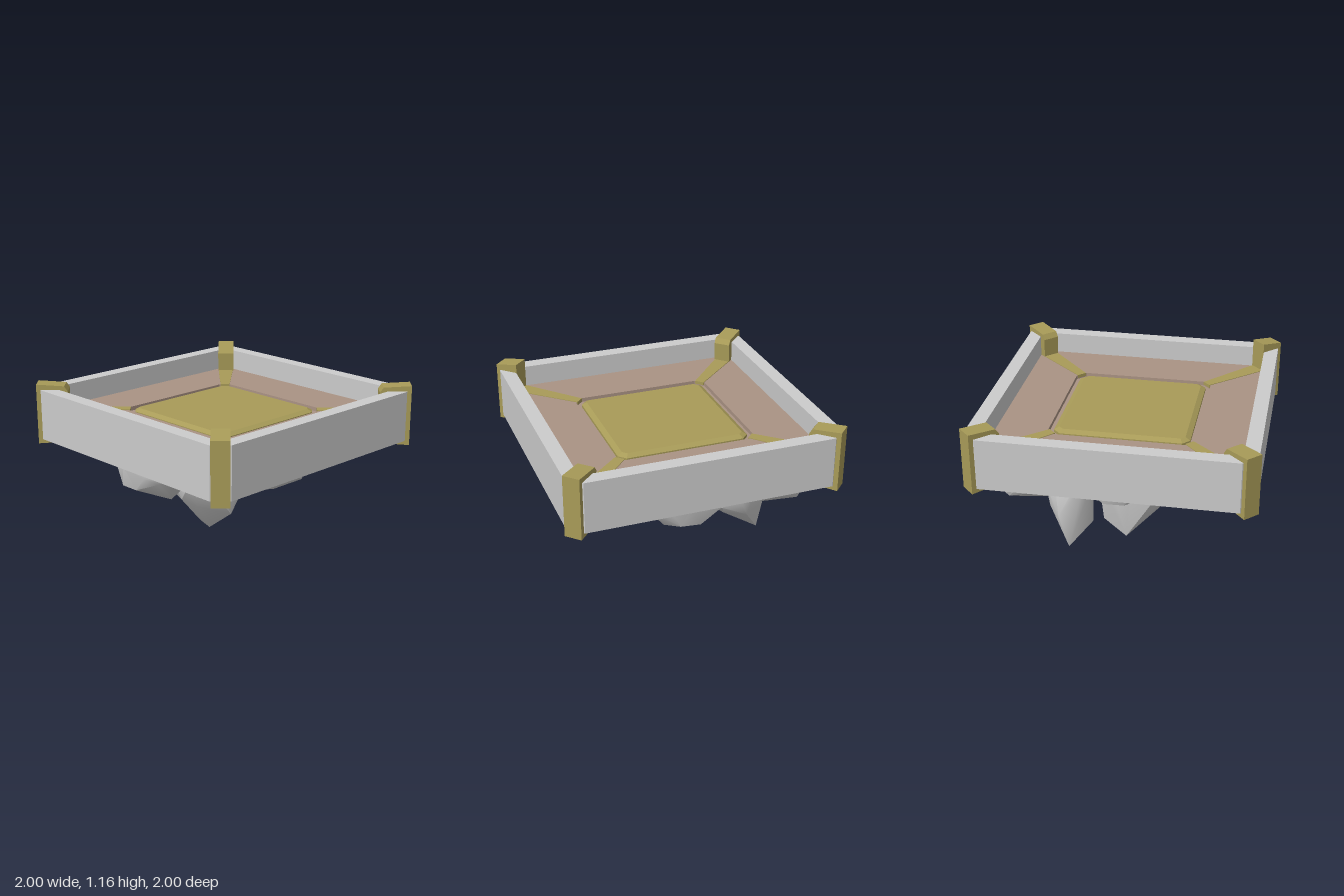
import * as THREE from 'three';
import { ConvexGeometry } from 'three/addons/geometries/ConvexGeometry.js';
import { toCreasedNormals } from 'three/addons/utils/BufferGeometryUtils.js';

const grey = new THREE.MeshStandardMaterial({ color: 0xcccccc });
const brown = new THREE.MeshStandardMaterial({ color: 0xaa9384 });
const gold = new THREE.MeshStandardMaterial({ color: 0xa89b58 });

const FLOOR = 0.945;

function add(parent, name, geometry, material) {
  const mesh = new THREE.Mesh(geometry, material);
  mesh.name = name;
  parent.add(mesh);
}

function polygon(points) {
  return new THREE.Shape(points.map(([x, y]) => new THREE.Vector2(x, y)));
}

// Square of half size h with corners cut by c
function cutSquare(h, c) {
  const k = h - c;
  return polygon([[h, -k], [h, k], [k, h], [-k, h], [-h, k], [-h, -k], [-k, -h], [k, -h]]);
}

function square(h) {
  return polygon([[-h, -h], [h, -h], [h, h], [-h, h]]);
}

// Lay a flat shape on the ground plane, from y0 up to y1
function slab(shape, y0, y1) {
  return new THREE.ExtrudeGeometry(shape, { depth: y1 - y0, bevelEnabled: false })
    .rotateX(-Math.PI / 2).translate(0, y0, 0);
}

function seeded(seed) {
  let s = seed * 7919 + 17;
  return () => (s = (s * 16807) % 2147483647) / 2147483647;
}

// Rock: convex hull of a rough, slightly boxy ellipsoid plus a few jutting points
function rockGeometry(seed, [cx, cy, cz], [rx, ry, rz], tips) {
  const rand = seeded(seed);
  const count = 40;
  const boxy = (v) => Math.sign(v) * Math.abs(v) ** 0.85;
  const points = tips.map((t) => new THREE.Vector3(...t));
  for (let i = 0; i < count; i++) {
    const v = 1 - (2 * (i + 0.5)) / count;
    const ring = Math.sqrt(1 - v * v);
    const a = i * 2.39996 + rand() * 0.5;
    const k = 0.9 + rand() * 0.1;
    points.push(new THREE.Vector3(
      cx + rx * k * boxy(ring * Math.cos(a)),
      Math.min(cy + ry * k * boxy(v), 0.88),
      cz + rz * k * boxy(ring * Math.sin(a))));
  }
  return toCreasedNormals(new ConvexGeometry(points), 0.6);
}

// Rock in the outer ring, built along +x and then turned to its angle
function ringRockGeometry(seed, [degrees, inner, outer, halfWidth, low, lowAt, shoulder]) {
  const centre = [(inner + outer) / 2, 0.72, 0];
  const radii = [(outer - inner) / 2, (0.72 - low) * 0.62, halfWidth];
  const tips = [
    [outer, 0.73, 0.02],
    [outer * 0.95, shoulder, 0.08], [outer * 0.95, shoulder, -0.06],
    [lowAt, low, halfWidth * 0.45], [lowAt - 0.04, low + 0.01, -halfWidth * 0.5],
  ];
  return rockGeometry(seed, centre, radii, tips).rotateY(-degrees * Math.PI / 180);
}

// Hanging rocks: centre, radii, jutting points
const HANGING = [
  [[-0.08, 0.5, -0.1], [0.33, 0.32, 0.3],
    [[0, 0, -0.26], [-0.1, 0.03, -0.05], [0.18, 0.1, -0.2], [-0.06, 0.18, 0.14], [-0.35, 0.38, -0.05],
      [0.2, 0.24, -0.1]]],
  [[0.25, 0.5, -0.02], [0.17, 0.19, 0.2],
    [[0.1, 0.31, 0.13], [0.29, 0.29, -0.1], [0.25, 0.8, 0]]],
  [[0.38, 0.54, -0.4], [0.19, 0.24, 0.2],
    [[0.35, 0.1, -0.62], [0.21, 0.22, -0.44], [0.52, 0.33, -0.46], [0.42, 0.35, -0.63], [0.4, 0.4, -0.2],
      [0.3, 0.8, -0.25]]],
];

// Ring rocks: angle, inner and outer reach, half width, lowest height, its distance, shoulder height
const RING = [
  [7, 0.33, 0.94, 0.34, 0.48, 0.7, 0.57],
  [45, 0.3, 1.1, 0.31, 0.53, 0.6, 0.64],
  [103, 0.12, 0.88, 0.3, 0.4, 0.26, 0.66],
  [140, 0.33, 1.05, 0.27, 0.57, 0.6, 0.63],
  [180, 0.3, 0.94, 0.36, 0.46, 0.72, 0.56],
  [225, 0.25, 1.22, 0.26, 0.53, 0.6, 0.69],
  [268, 0.3, 0.87, 0.32, 0.53, 0.65, 0.61],
  [315, 0.42, 1.13, 0.34, 0.54, 0.85, 0.59],
];

export function createModel() {
  const model = new THREE.Group();
  model.name = 'floatingPlatform';

  // Square wall around the tray, its corners trimmed inside the posts
  const wall = cutSquare(0.983, 0.1);
  wall.holes.push(square(0.88));
  add(model, 'wall', slab(wall, 0.73, 1.1), grey);

  // Floor with a recess for the centre plate
  const floor = square(0.885);
  floor.holes.push(cutSquare(0.515, 0.06));
  add(model, 'floor', slab(floor, 0.81, FLOOR), brown);
  add(model, 'recessFloor', slab(cutSquare(0.52, 0.06), 0.81, FLOOR - 0.03), brown);

  // Bevelled centre plate
  const plate = new THREE.ExtrudeGeometry(cutSquare(0.445, 0.03), {
    depth: 0.04, bevelEnabled: true, bevelThickness: 0.02, bevelSize: 0.035, bevelSegments: 1,
  }).rotateX(-Math.PI / 2).translate(0, FLOOR - 0.05, 0);
  add(model, 'centrePlate', plate, gold);

  // Corner posts and tapered inlay strips, one pair per diagonal; one post has a raised cap
  for (let k = 0; k < 4; k++) {
    const corner = new THREE.Group();
    corner.name = 'corner' + (k + 1);
    corner.rotation.y = Math.PI / 4 + (k * Math.PI) / 2;
    const inner = k === 2
      ? [[1.18, 1.165], [1.18, 0.71]]
      : [[1.15, 1.128], [1.125, 1.09], [1.14, 0.71]];
    const profile = polygon([[1.353, 0.695], [1.353, 1.14], ...inner]);
    const post = new THREE.ExtrudeGeometry(profile, { depth: 0.124, bevelEnabled: false });
    add(corner, 'post', post.translate(0, 0, -0.062), gold);
    const strip = polygon([[0.68, -0.035], [1.2, -0.062], [1.2, 0.062], [0.68, 0.035]]);
    add(corner, 'inlayStrip', slab(strip, FLOOR - 0.02, FLOOR + 0.004), gold);
    model.add(corner);
  }

  // Rocks beneath the tray
  const rocks = new THREE.Group();
  rocks.name = 'rocks';
  HANGING.forEach(([centre, radii, tips], i) =>
    add(rocks, 'hangingRock' + (i + 1), rockGeometry(i + 1, centre, radii, tips), grey));
  RING.forEach((spec, i) =>
    add(rocks, 'ringRock' + (i + 1), ringRockGeometry(i + 11, spec), grey));
  model.add(rocks);

  return model;
}
